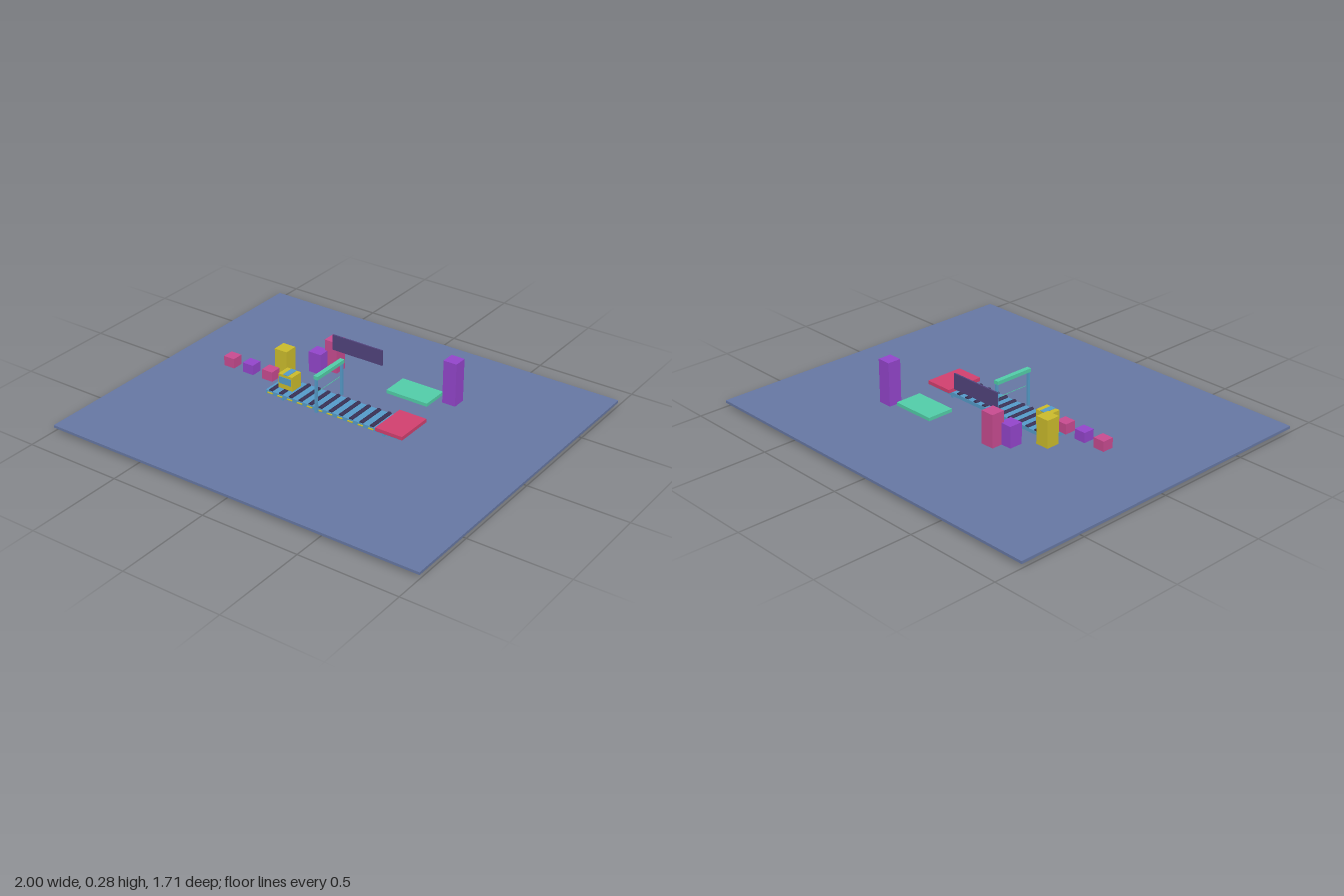
import * as THREE from 'three';

const mat = (name, color) => {
  const m = new THREE.MeshStandardMaterial({ color });
  m.name = name;
  return m;
};

export function createModel() {
  const root = new THREE.Group();
  root.name = 'conveyorScene';

  const slate = mat('slate blue', 0x6677a3);
  const blue = mat('steel blue', 0x559bc9);
  const dark = mat('dark violet', 0x393055);
  const sign = mat('sign violet', 0x51437c);
  const teal = mat('mint', 0x52cda8);
  const red = mat('crimson', 0xd1406f);
  const pink = mat('pink', 0xc74b90);
  const purple = mat('purple', 0x9345cb);
  const yellow = mat('yellow', 0xcbbb2c);

  // Box given by its limits on each axis
  const box = (name, material, [x0, x1], [y0, y1], [z0, z1], parent = root) => {
    const mesh = new THREE.Mesh(new THREE.BoxGeometry(x1 - x0, y1 - y0, z1 - z0), material);
    mesh.position.set((x0 + x1) / 2, (y0 + y1) / 2, (z0 + z1) / 2);
    mesh.name = name;
    parent.add(mesh);
    return mesh;
  };

  box('floor', slate, [-1, 1], [0.02, 0.033], [-0.855, 0.855]);

  // Conveyor with legs, rollers and side markers
  const conveyor = new THREE.Group();
  conveyor.name = 'conveyor';
  root.add(conveyor);
  box('bed', blue, [-0.372, 0.372], [0.053, 0.071], [-0.077, 0.077], conveyor);
  for (const x of [-0.287, 0.287])
    for (const z of [-0.057, 0.057])
      box('leg', blue, [x - 0.006, x + 0.006], [0, 0.054], [z - 0.006, z + 0.006], conveyor);

  const rollerGeo = new THREE.CylinderGeometry(0.0115, 0.0115, 0.15, 8).rotateX(Math.PI / 2);
  for (let i = 0; i < 13; i++) {
    const x = -0.345 + i * 0.0575;
    const roller = new THREE.Mesh(rollerGeo, dark);
    roller.name = 'roller';
    roller.position.set(x, 0.069, 0);
    conveyor.add(roller);
    if (i < 11)
      box('sideMarker', yellow, [x - 0.014, x + 0.014], [0.06, 0.064], [0.077, 0.084], conveyor);
  }

  // Scanner gate
  const gate = new THREE.Group();
  gate.name = 'scannerGate';
  root.add(gate);
  for (const z of [-0.1, 0.1])
    box('gatePost', blue, [-0.066, -0.054], [0.062, 0.235], [z - 0.006, z + 0.006], gate);
  box('gateBeam', teal, [-0.072, -0.048], [0.234, 0.252], [-0.105, 0.105], gate);
  box('scanLine', teal, [-0.061, -0.059], [0.164, 0.166], [-0.085, 0.085], gate);

  // Trays
  box('endTray', red, [0.267, 0.413], [0.073, 0.091], [-0.1, 0.1]);
  box('sidePad', teal, [0.112, 0.338], [0.073, 0.09], [-0.36, -0.22]);

  // Parcel with label and tape
  box('parcel', yellow, [-0.328, -0.248], [0.079, 0.153], [-0.035, 0.035]);
  box('parcelLabel', blue, [-0.322, -0.254], [0.105, 0.14], [0.034, 0.038]);
  box('parcelTape', blue, [-0.303, -0.273], [0.152, 0.155], [-0.034, 0.034]);

  // Queued cubes
  [[-0.631, pink], [-0.516, purple], [-0.401, pink]].forEach(([x, m]) =>
    box('queuedCube', m, [x - 0.03, x + 0.03], [0.09, 0.14], [-0.029, 0.029]));

  // Standing blocks
  [
    [0.4, -0.345, 0.285, purple],
    [-0.402, -0.115, 0.202, yellow],
    [-0.233, -0.288, 0.228, pink],
    [-0.288, -0.232, 0.171, purple],
  ].forEach(([x, z, top, m]) =>
    box('standingBlock', m, [x - 0.035, x + 0.035], [0.064, top], [z - 0.035, z + 0.035]));

  // Hanging sign board
  box('signBoard', sign, [-0.202, 0.081], [0.205, 0.284], [-0.234, -0.226]);

  return root;
}
